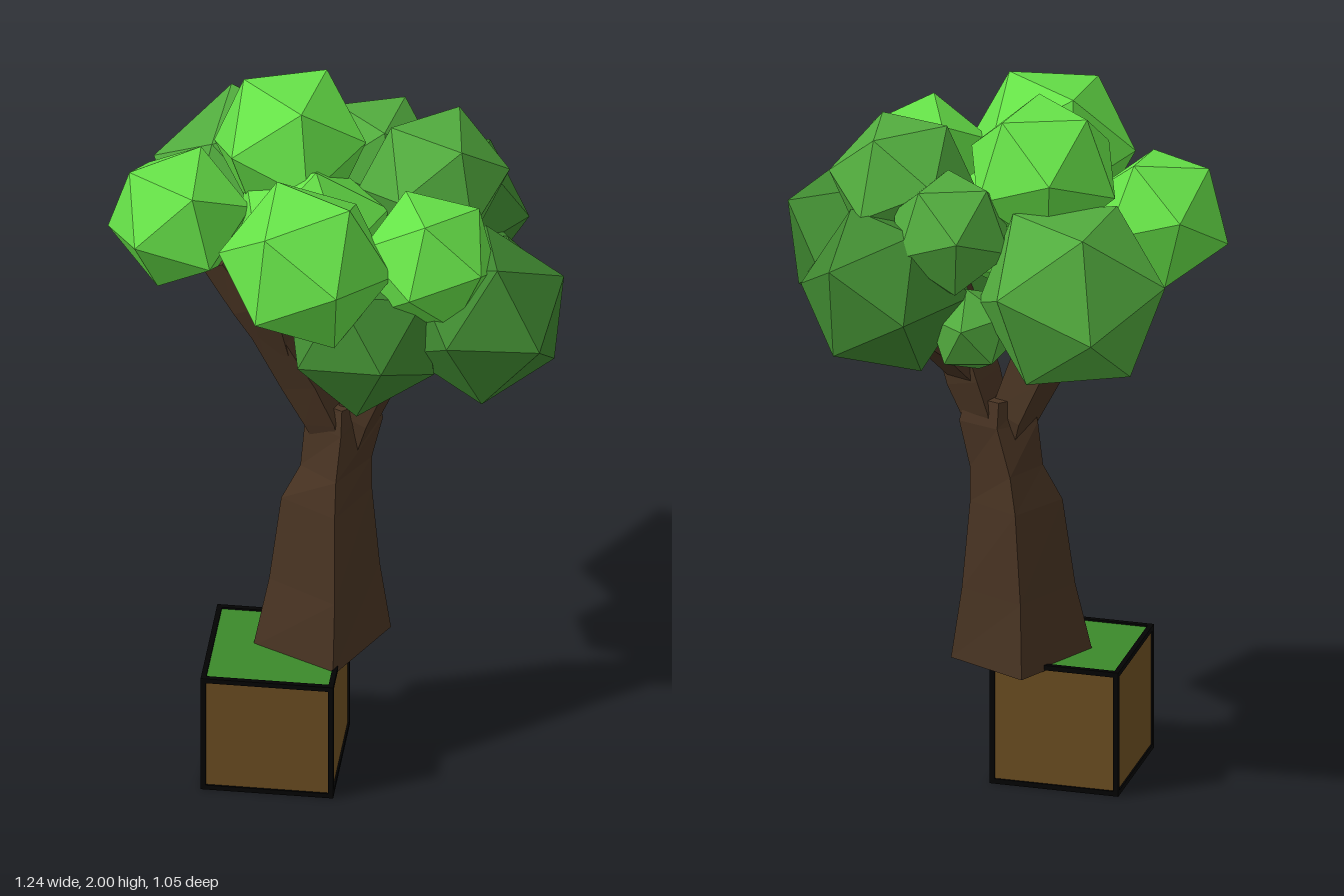
import * as THREE from 'three';

const mat = (name, color) => Object.assign(new THREE.MeshStandardMaterial({ color }), { name });

// Flat-faced skin over a list of equal-sized rings of Vector3, capped at both ends
function loft(rings) {
  const pos = [];
  const tri = (...pts) => pts.forEach(p => pos.push(p.x, p.y, p.z));
  const n = rings[0].length;
  for (let k = 0; k < rings.length - 1; k++) {
    const a = rings[k], b = rings[k + 1];
    for (let i = 0; i < n; i++) {
      const j = (i + 1) % n;
      tri(a[i], a[j], b[j]);
      tri(a[i], b[j], b[i]);
    }
  }
  const first = rings[0], last = rings[rings.length - 1];
  for (let i = 1; i < n - 1; i++) {
    tri(first[0], first[i + 1], first[i]);
    tri(last[0], last[i], last[i + 1]);
  }
  const g = new THREE.BufferGeometry();
  g.setAttribute('position', new THREE.Float32BufferAttribute(pos, 3));
  g.computeVertexNormals();
  return g;
}

// Four-sided tapering limb through points [x, y, z, radius]
function limb(points) {
  const p = points.map(q => new THREE.Vector3(q[0], q[1], q[2]));
  const up = new THREE.Vector3(0, 1, 0);
  return loft(p.map((c, k) => {
    const dir = p[Math.min(k + 1, p.length - 1)].clone().sub(p[Math.max(k - 1, 0)]).normalize();
    const turn = new THREE.Quaternion().setFromUnitVectors(up, dir);
    return [0, 1, 2, 3].map(i => {
      const t = i * Math.PI / 2 + 0.42;
      return new THREE.Vector3(-Math.cos(t), 0, Math.sin(t))
        .multiplyScalar(points[k][3]).applyQuaternion(turn).add(c);
    });
  }));
}

// Right-handed frame whose first axis is a and whose second leans toward b
function frame(a, b) {
  const e1 = new THREE.Vector3(...a).normalize();
  const e3 = e1.clone().cross(new THREE.Vector3(...b)).normalize();
  return new THREE.Matrix4().makeBasis(e1, e3.clone().cross(e1), e3);
}

// Icosahedron turned so that one corner points along a and the next one toward b
function leafBall(center, radius, a, b) {
  const t = (1 + Math.sqrt(5)) / 2;
  const g = new THREE.IcosahedronGeometry(radius, 0);
  g.applyMatrix4(frame(a, b).multiply(frame([-1, t, 0], [1, t, 0]).transpose()));
  g.translate(...center);
  g.computeVertexNormals();
  return g;
}

export function createModel() {
  const model = new THREE.Group();
  model.name = 'treeOnBlock';
  const bright = mat('bright leaf green', 0x66e248);
  const mid = mat('middle leaf green', 0x52ac3e);
  const dark = mat('dark leaf green', 0x3f8830);
  const grass = mat('grass green', 0x3c8a2a);
  const dirt = mat('dirt brown', 0x6e4f22);
  const bark = mat('bark brown', 0x493423);
  const black = mat('edge black', 0x030303);
  const add = (name, geometry, material, parent = model) => {
    const m = new THREE.Mesh(geometry, material);
    m.name = name;
    parent.add(m);
    return m;
  };

  // Dirt block with a grass top and thin black edge bars
  const block = new THREE.Group();
  block.name = 'block';
  block.position.set(-0.158, 0.182, 0.143);
  model.add(block);
  const S = 0.348, T = 0.014, W = S + 0.01;
  add('blockCore', new THREE.BoxGeometry(S, S, S), [dirt, dirt, grass, dirt, dirt, dirt], block);
  for (const a of [-1, 1]) for (const b of [-1, 1]) {
    const o = (W - T) / 2;
    add('edgeX', new THREE.BoxGeometry(W, T, T), black, block).position.set(0, a * o, b * o);
    add('edgeY', new THREE.BoxGeometry(T, W, T), black, block).position.set(a * o, 0, b * o);
    add('edgeZ', new THREE.BoxGeometry(T, T, W), black, block).position.set(a * o, b * o, 0);
  }

  // Trunk: [y, then x and z of the left, front, right and back corners]
  const sections = [
    [0.345, -0.22, 0.13, 0.01, 0.24, 0.135, -0.01, -0.09, -0.115],
    [0.55, -0.18, 0.1, 0.01, 0.205, 0.105, -0.01, -0.08, -0.09],
    [0.8, -0.15, 0.08, 0.005, 0.165, 0.085, 0, -0.06, -0.07],
    [0.9, -0.1, 0.065, 0.005, 0.14, 0.085, 0, -0.04, -0.05],
    [1.03, -0.09, 0.05, 0.015, 0.11, 0.115, 0, 0, -0.035],
    [1.1, -0.07, 0.05, 0.015, 0.09, 0.1, 0.01, 0, -0.02],
  ];
  add('trunk', loft(sections.map(s => [1, 3, 5, 7].map(i => new THREE.Vector3(s[i], s[0], s[i + 1])))), bark);

  // Forked limbs and their branches
  [
    [[-0.01, 0.92, 0.04, 0.03], [-0.03, 1.05, 0.04, 0.068], [-0.085, 1.18, 0.045, 0.078], [-0.17, 1.35, 0.07, 0.07]],
    [[-0.15, 1.3, 0.07, 0.06], [-0.23, 1.43, 0.08, 0.06], [-0.32, 1.56, 0.08, 0.05]],
    [[-0.15, 1.3, 0.07, 0.06], [-0.17, 1.43, 0.11, 0.055], [-0.18, 1.6, 0.14, 0.05]],
    [[-0.13, 1.28, 0.04, 0.05], [-0.2, 1.4, -0.1, 0.05], [-0.27, 1.5, -0.22, 0.045]],
    [[0.03, 0.92, 0.035, 0.03], [0.055, 1.06, 0.035, 0.065], [0.085, 1.15, 0.035, 0.075], [0.12, 1.26, 0.035, 0.07]],
    [[0.09, 1.18, 0.035, 0.055], [0.21, 1.28, 0.05, 0.055], [0.38, 1.42, 0.08, 0.045]],
    [[0.11, 1.2, 0.035, 0.06], [0.13, 1.35, 0.06, 0.055], [0.13, 1.55, 0.1, 0.045]],
    [[0.1, 1.18, 0.02, 0.055], [0.14, 1.28, -0.08, 0.055], [0.22, 1.42, -0.25, 0.045]],
  ].forEach((p, i) => add('branch' + (i + 1), limb(p), bark));

  // Leaf clumps: colour, centre, radius, direction of one corner, direction of the next
  const crown = new THREE.Group();
  crown.name = 'crown';
  model.add(crown);
  [
    [mid, [-0.28, 1.555, -0.297], 0.27, [-0.068, 0.215, -0.138], [0.15, 0.051, -0.22]],
    [bright, [-0.43, 1.66, 0.04], 0.2, [-0.965, -0.25, -0.03], [-0.47, 0.02, 0.88]],
    [bright, [-0.15, 1.825, -0.112], 0.217, [-0.127, 0.172, -0.023], [0.1, 0.172, -0.105]],
    [bright, [-0.055, 1.715, 0.308], 0.236, [-1, 0.08, 0], [-0.447, -0.335, 0.829]],
    [mid, [0.24, 1.745, -0.1], 0.205, [-0.107, 0.16, 0.02], [0.05, 0.16, -0.11]],
    [bright, [0.265, 1.68, 0.19], 0.195, [0, 0.86, 0.5], [-0.8, 0.3, 0.3]],
    [dark, [0.405, 1.48, 0.14], 0.24, [0.205, 0.1, -0.06], [0.17, 0, 0.175]],
    [dark, [0.085, 1.455, 0.23], 0.225, [0.08, 0.01, 0.21], [0.195, -0.08, 0.08]],
    [dark, [0.235, 1.515, -0.3], 0.237, [1, -0.03, 0], [0.105, 0.11, -0.18]],
    [mid, [0.06, 1.69, -0.275], 0.175, [-0.127, 0.172, -0.023], [0.1, 0.172, -0.105]],
    [bright, [-0.08, 1.62, 0.04], 0.23, [0.1, 1, 0.1], [0.5, 0.4, 0.8]],
    [dark, [0.4, 1.47, -0.12], 0.1, [0.9, 0.1, -0.3], [0.4, 0.9, 0]],
    [mid, [0, 1.42, -0.28], 0.125, [0, 0.3, -1], [0.8, 0.3, -0.4]],
  ].forEach(([color, ...ball], i) => add('leafClump' + (i + 1), leafBall(...ball), color, crown));

  return model;
}
